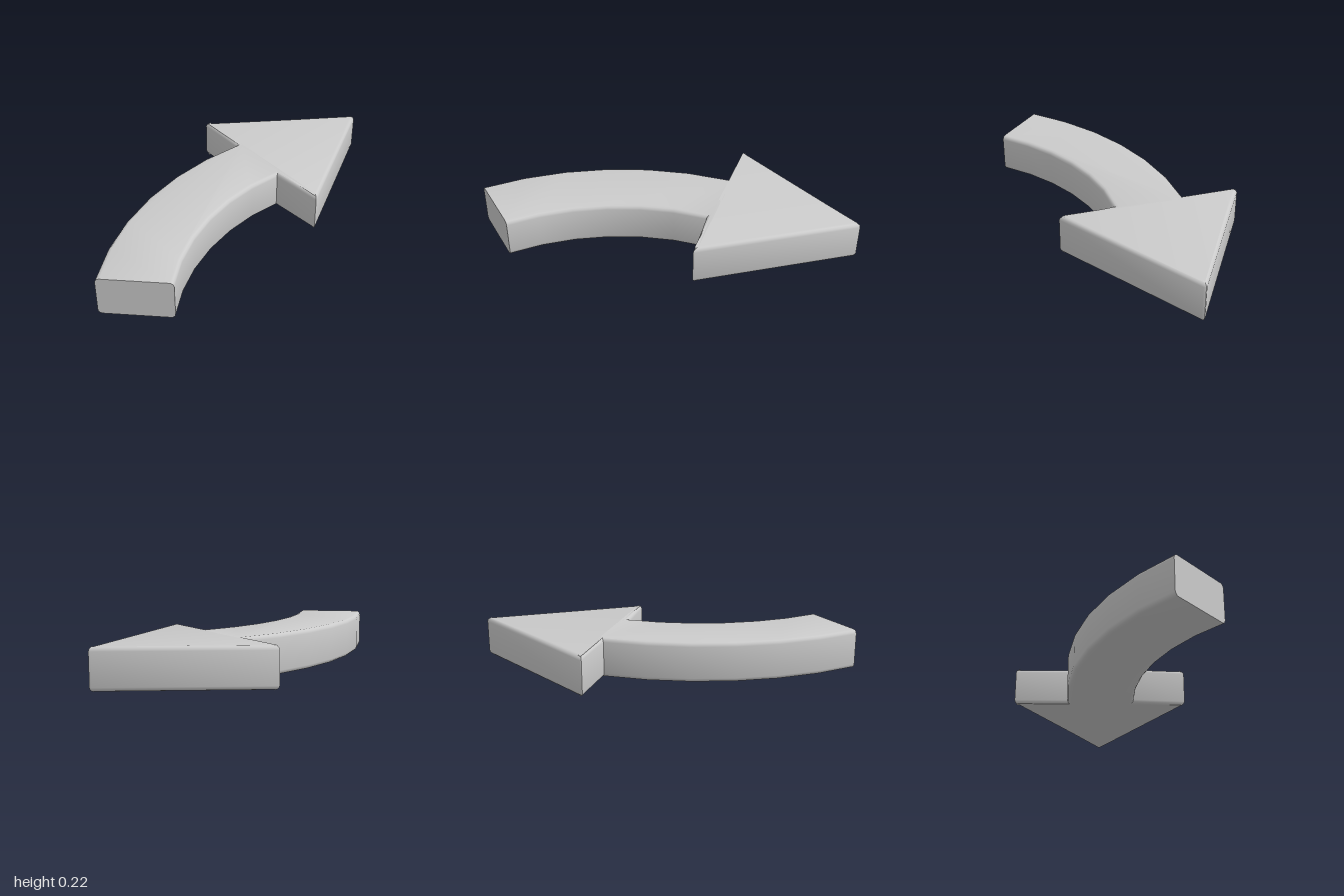
import * as THREE from 'three';
import { toCreasedNormals } from 'three/addons/utils/BufferGeometryUtils.js';

const HEIGHT = 0.215, BEVEL = 0.022;
const CX = 1.312, CZ = 0.3;          // centre of the shaft's curve
const INNER = 1.25, OUTER = 1.625;   // radii of its two edges
const TAIL = 0.438, NECK = -0.42;    // angles where the shaft starts and ends
const STEPS = 6;

export function createModel() {
  const group = new THREE.Group();
  group.name = 'curvedArrow';

  // Outline seen from above, as (x, -z)
  const arcPoint = (r, a) => new THREE.Vector2(CX - r * Math.cos(a), -(CZ + r * Math.sin(a)));
  const points = [];
  for (let i = 0; i <= STEPS; i++) points.push(arcPoint(INNER, TAIL + (NECK - TAIL) * i / STEPS));
  // Arrowhead: corner, tip, corner, each slightly blunted
  for (const [x, z] of [[0.444, -0.127], [0.45, -0.12], [0.45, -0.132], [0.284, -0.99], [0.275, -1],
    [0.265, -0.996], [-0.447, -0.485], [-0.45, -0.477], [-0.44, -0.472]]) {
    if (x === 0.444) continue;
    points.push(new THREE.Vector2(x, -z));
  }
  for (let i = STEPS; i >= 0; i--) points.push(arcPoint(OUTER, TAIL + (NECK - TAIL) * i / STEPS));

  const geometry = new THREE.ExtrudeGeometry(new THREE.Shape(points), {
    depth: HEIGHT - 2 * BEVEL, bevelEnabled: true, bevelThickness: BEVEL,
    bevelSize: BEVEL, bevelOffset: -BEVEL, bevelSegments: 3,
  });
  geometry.rotateX(-Math.PI / 2);
  geometry.translate(0, BEVEL, 0);

  // Flatten the tail end: slide its bevel back out to the cut plane
  const p = geometry.attributes.position;
  const s = Math.sin(TAIL), c = Math.cos(TAIL);
  for (let i = 0; i < p.count; i++) {
    const d = (p.getX(i) - CX) * s + (p.getZ(i) - CZ) * c;
    const r = (CX - p.getX(i)) * c + (p.getZ(i) - CZ) * s;
    if (Math.abs(d) < 0.06 && r > INNER - 0.05 && r < OUTER + 0.05) {
      p.setX(i, p.getX(i) - d * s);
      p.setZ(i, p.getZ(i) - d * c);
    }
  }

  const arrow = new THREE.Mesh(
    toCreasedNormals(geometry, 0.75),
    new THREE.MeshStandardMaterial({ color: 0xcccccc }),
  );
  arrow.name = 'arrow';
  group.add(arrow);
  return group;
}
